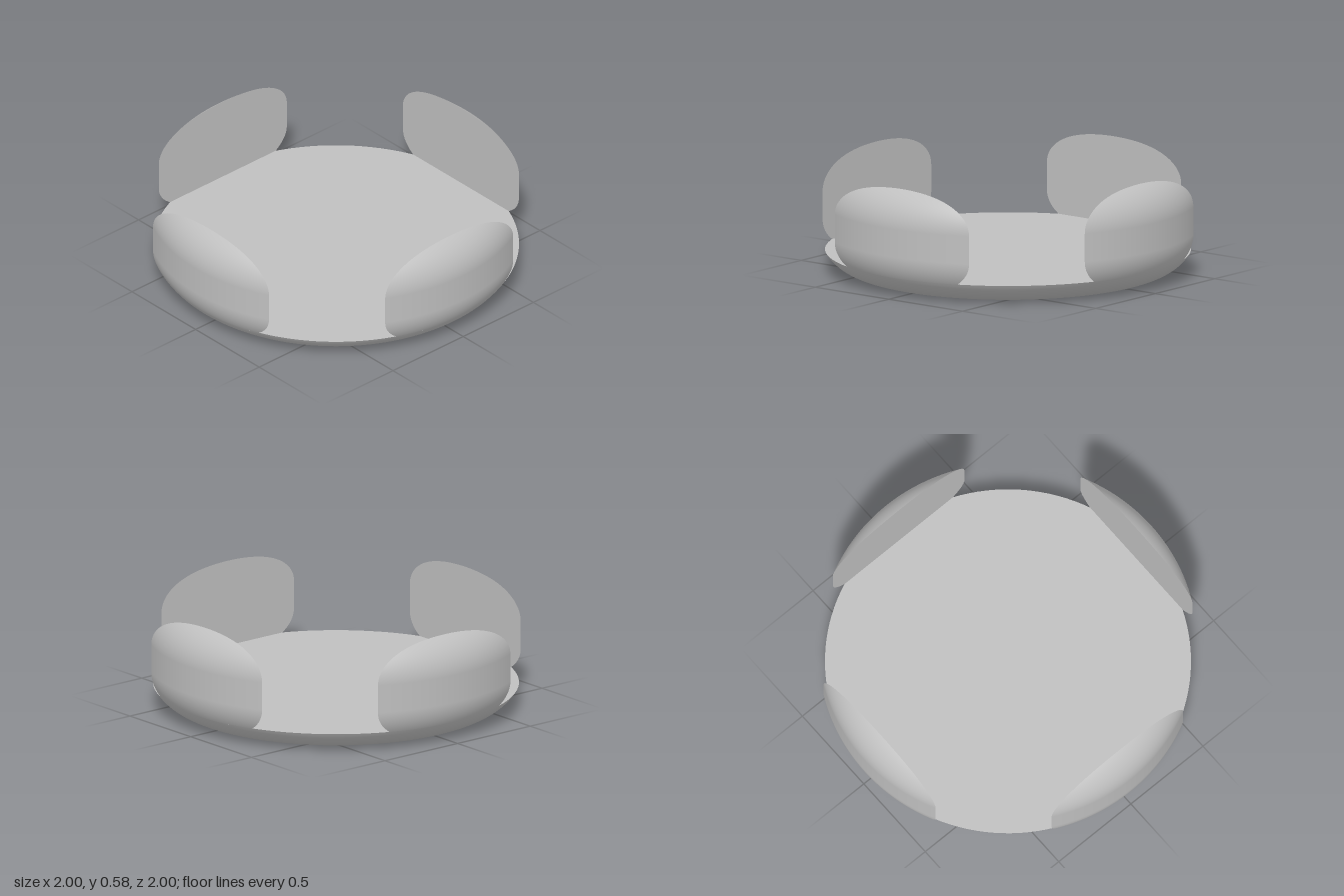
import * as THREE from 'three';

const R = 1, FILLET = 0.23, HEIGHT = 0.61; // rounded disc that the whole form is cut from
const FLOOR = 0.11, CHORD = 0.89;          // floor level and distance of the flat inner faces

// Arc point on the lower (sign -1) or upper (sign 1) rounded edge, with its outward normal
function edgePoint(phi, sign) {
  const cy = sign < 0 ? FILLET : HEIGHT - FILLET;
  return {
    r: R - FILLET + FILLET * Math.cos(phi),
    y: cy + sign * FILLET * Math.sin(phi),
    nr: Math.cos(phi), ny: sign * Math.sin(phi),
  };
}

// Surface from rows of { position, normal }
function gridGeometry(rows, flip) {
  const pos = [], nor = [], idx = [], n = rows[0].length;
  rows.forEach((row) => row.forEach(({ p, n: q }) => { pos.push(...p); nor.push(...q); }));
  for (let i = 0; i < rows.length - 1; i++) {
    for (let j = 0; j < n - 1; j++) {
      const a = i * n + j, b = a + 1, c = a + n, d = c + 1;
      if (flip) idx.push(a, d, b, a, c, d);
      else idx.push(a, b, d, a, d, c);
    }
  }
  const g = new THREE.BufferGeometry();
  g.setAttribute('position', new THREE.Float32BufferAttribute(pos, 3));
  g.setAttribute('normal', new THREE.Float32BufferAttribute(nor, 3));
  g.setIndex(idx);
  return g;
}

export function createModel() {
  const model = new THREE.Group();
  model.name = 'roundTray';
  const grey = new THREE.MeshStandardMaterial({ color: 0xc0c0c0 });
  grey.name = 'grey';
  const add = (parent, name, geometry) => {
    const mesh = new THREE.Mesh(geometry, grey);
    mesh.name = name;
    parent.add(mesh);
    return mesh;
  };

  const floorPhi = Math.asin((FILLET - FLOOR) / FILLET);
  const topPhi = Math.acos((CHORD - R + FILLET) / FILLET);

  // Base: flat underside running into the rounded lower edge
  const profile = [new THREE.Vector2(0, 0), new THREE.Vector2(R - FILLET - 0.01, 0)];
  for (let i = 0; i <= 16; i++) {
    const e = edgePoint(THREE.MathUtils.lerp(Math.PI / 2, floorPhi, i / 16), -1);
    profile.push(new THREE.Vector2(e.r, e.y));
  }
  add(model, 'base', new THREE.LatheGeometry(profile, 128));

  // Flat floor of the tray
  const floor = add(model, 'floor', new THREE.CircleGeometry(edgePoint(floorPhi, -1).r, 128));
  floor.rotation.x = -Math.PI / 2;
  floor.position.y = FLOOR;

  // Wall section from the floor up to the crest, with rows closer together at the crest
  const section = [];
  for (let i = 0; i <= 10; i++) section.push(edgePoint(floorPhi * (1 - i / 10), -1));
  for (let i = 0; i <= 28; i++) section.push(edgePoint(topPhi * Math.sin((i / 28) * Math.PI / 2), 1));

  const outerRows = section.map(({ r, y, nr, ny }) => {
    const half = Math.acos(Math.min(1, CHORD / r));
    return Array.from({ length: 33 }, (_, j) => {
      const a = half * (j / 16 - 1), s = Math.sin(a), c = Math.cos(a);
      return { p: [r * s, y, r * c], n: [nr * s, ny, nr * c] };
    });
  });
  const innerRows = section.map(({ r, y }) => {
    const w = Math.sqrt(Math.max(0, r * r - CHORD * CHORD));
    return [-w, w].map((x) => ({ p: [x, y, CHORD], n: [0, 0, -1] }));
  });
  const outer = gridGeometry(outerRows, false);
  const inner = gridGeometry(innerRows, true);

  // Four walls around the tray
  ['frontWall', 'leftWall', 'backWall', 'rightWall'].forEach((name, k) => {
    const wall = new THREE.Group();
    wall.name = name;
    add(wall, 'outerFace', outer);
    add(wall, 'innerFace', inner);
    wall.rotation.y = k * Math.PI / 2;
    model.add(wall);
  });

  return model;
}
